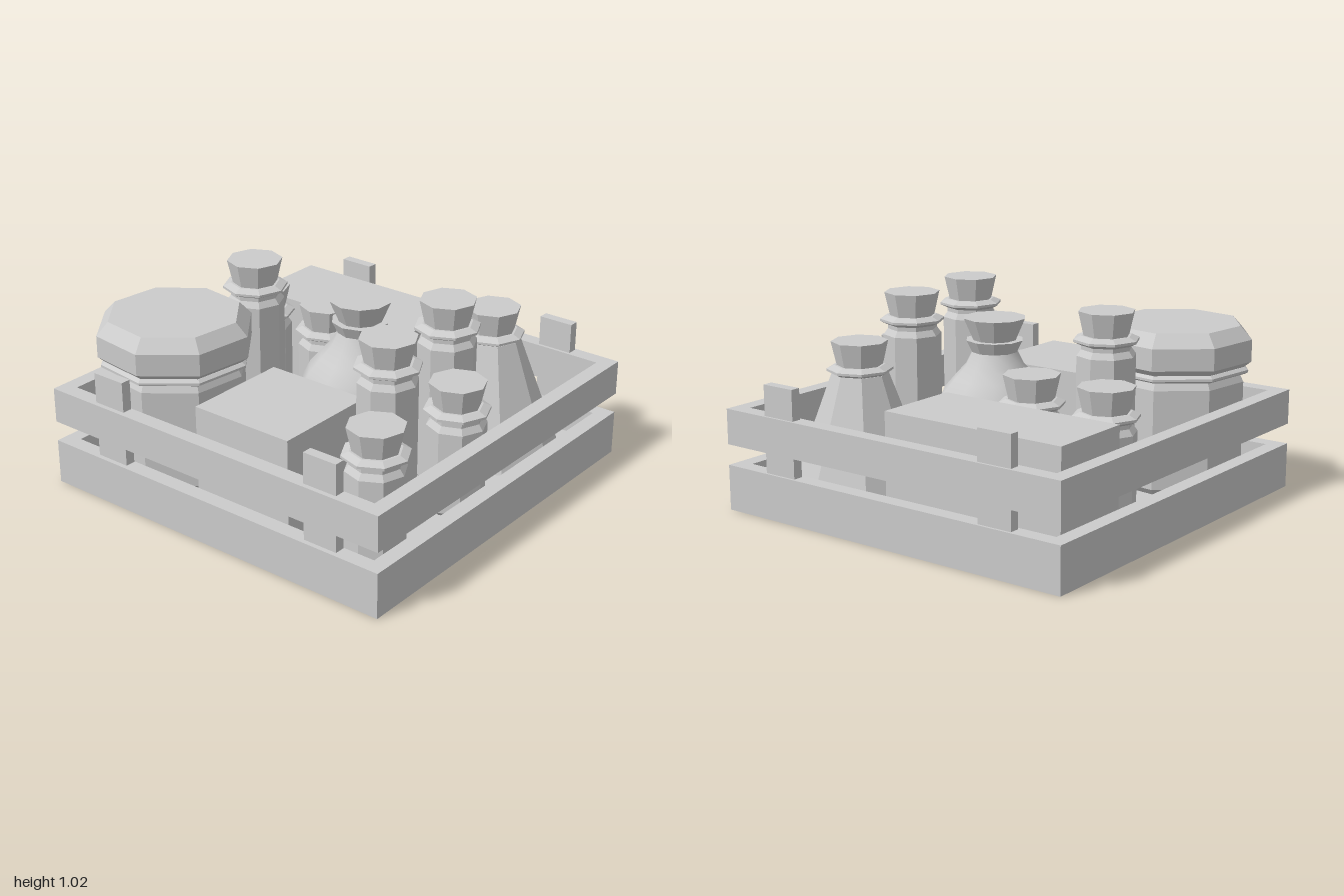
import * as THREE from 'three';

const FLOOR = 0.08;
const WALL = 0.08;

const flatMat = new THREE.MeshStandardMaterial({ color: 0xcccccc, flatShading: true });
const smoothMat = new THREE.MeshStandardMaterial({ color: 0xcccccc });

// Box given by its minimum and maximum corners
function box(name, [x0, y0, z0], [x1, y1, z1]) {
  const mesh = new THREE.Mesh(new THREE.BoxGeometry(x1 - x0, y1 - y0, z1 - z0), flatMat);
  mesh.name = name;
  mesh.position.set((x0 + x1) / 2, (y0 + y1) / 2, (z0 + z1) / 2);
  return mesh;
}

// Turned part from [radius, height] pairs, listed from bottom to top
function turned(name, profile, sides = 8, material = flatMat) {
  const points = profile.map(([r, y]) => new THREE.Vector2(r, y));
  const mesh = new THREE.Mesh(new THREE.LatheGeometry(points, sides), material);
  mesh.name = name;
  return mesh;
}

function place(name, parts, x, z, turn = 0) {
  const group = new THREE.Group();
  group.name = name;
  group.add(...parts);
  group.position.set(x, 0, z);
  group.rotation.y = turn;
  return group;
}

// Square frame with open middle
function frame(name, y0, y1) {
  const shape = new THREE.Shape();
  shape.moveTo(-1, -1).lineTo(1, -1).lineTo(1, 1).lineTo(-1, 1).closePath();
  const i = 1 - WALL;
  const hole = new THREE.Path();
  hole.moveTo(-i, -i).lineTo(-i, i).lineTo(i, i).lineTo(i, -i).closePath();
  shape.holes.push(hole);
  const geometry = new THREE.ExtrudeGeometry(shape, { depth: y1 - y0, bevelEnabled: false });
  geometry.rotateX(-Math.PI / 2);
  const mesh = new THREE.Mesh(geometry, flatMat);
  mesh.name = name;
  mesh.position.y = y0;
  return mesh;
}

// Tapered stopper and collar ring whose top sits at the given height
function stopperAndRing(top) {
  return [
    turned('stopper', [[0, top - 0.14], [0.108, top - 0.14], [0.14, top], [0, top]]),
    turned('collar', [[0, top - 0.165], [0.125, top - 0.165], [0.163, top - 0.147],
      [0.163, top - 0.135], [0.125, top - 0.118], [0, top - 0.118]]),
  ];
}

function vial(x, z, top, turn) {
  const body = turned('vialBody', [[0, FLOOR], [0.13, FLOOR], [0.147, FLOOR + 0.02], [0.147, top - 0.215],
    [0.125, top - 0.185], [0.125, top - 0.16], [0, top - 0.16]]);
  return place('vial', [body, ...stopperAndRing(top)], x, z, turn);
}

function conicalFlask() {
  const body = turned('flaskBody', [[0, FLOOR], [0.362, FLOOR], [0.14, 0.68], [0, 0.68]]);
  return place('conicalFlask', [body, ...stopperAndRing(0.84)], 0.555, 0.525);
}

function roundFlask() {
  // Round belly sweeping up into a narrow neck
  const belly = [[0, FLOOR], [0.13, FLOOR + 0.01], [0.2, 0.15], [0.265, 0.23], [0.305, 0.31], [0.32, 0.4],
    [0.305, 0.48], [0.265, 0.56], [0.205, 0.63], [0.15, 0.69], [0.115, 0.76]];
  const parts = [
    turned('bellyAndNeck', belly, 10, smoothMat),
    turned('lip', [[0, 0.75], [0.11, 0.75], [0.145, 0.82], [0, 0.82]], 10),
    turned('stopper', [[0, 0.81], [0.105, 0.81], [0.157, 0.93], [0, 0.93]], 10),
  ];
  return place('roundFlask', parts, 0.055, 0.08, Math.PI / 10);
}

function wideJar() {
  const parts = [
    turned('jarBody', [[0, FLOOR], [0.33, FLOOR], [0.355, FLOOR + 0.03], [0.355, 0.61], [0.335, 0.65],
      [0.335, 0.69], [0, 0.69]]),
    turned('jarRim', [[0, 0.65], [0.36, 0.65], [0.378, 0.66], [0.378, 0.672], [0.36, 0.685], [0, 0.685]]),
    turned('jarLid', [[0, 0.68], [0.35, 0.68], [0.392, 0.715], [0.392, 0.825], [0.332, 0.89], [0, 0.89]]),
  ];
  return place('wideJar', parts, -0.565, -0.58, 0.27);
}

export function createModel() {
  const model = new THREE.Group();
  model.name = 'crateOfBottles';

  // Crate
  const crate = new THREE.Group();
  crate.name = 'crate';
  const inner = 1 - WALL;
  crate.add(
    box('crateFloor', [-inner, 0, -inner], [inner, FLOOR, inner]),
    frame('lowerFrame', 0, 0.23),
    frame('upperFrame', 0.335, 0.515),
  );
  for (const x of [-0.95, 0.962]) {
    for (const z of [-0.635, 0.66]) {
      crate.add(box('cratePost', [x - 0.026, 0.02, z - 0.092], [x + 0.026, 0.67, z + 0.092]));
    }
  }
  model.add(crate);

  // Packed boxes
  model.add(
    box('longBox', [0.41, FLOOR, -0.9], [0.86, 0.615, 0.1]),
    box('squareBox', [-0.86, FLOOR, -0.18], [-0.3, 0.615, 0.38]),
  );

  // Stoppered vials: x, z, top height, turn
  const vials = [
    [-0.39, 0.585, 1.02, 0.1], [0.14, 0.54, 1.02, 0.06], [-0.04, -0.52, 1.02, 0.06],
    [-0.67, 0.735, 0.735, 0.1], [-0.08, 0.76, 0.735, 0],
    [0.25, -0.72, 0.735, 0], [0.26, -0.3, 0.735, 0],
  ];
  for (const v of vials) model.add(vial(...v));

  // Large vessels
  model.add(conicalFlask(), roundFlask(), wideJar());
  return model;
}
